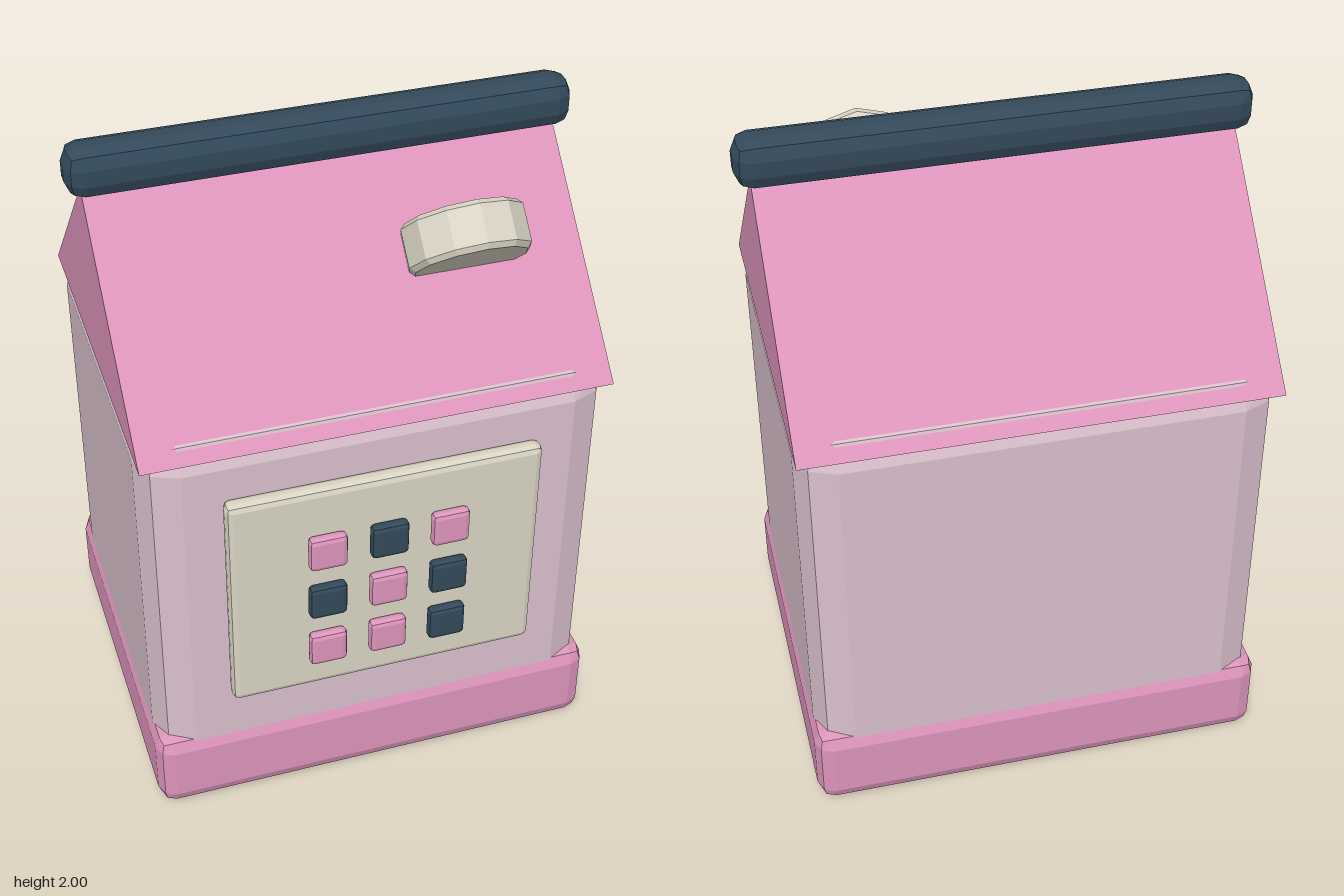
import * as THREE from 'three';
import { RoundedBoxGeometry } from 'three/addons/geometries/RoundedBoxGeometry.js';

const paint = (name, color) => {
  const m = new THREE.MeshStandardMaterial({ color });
  m.name = name;
  return m;
};

// Faceted shading: one normal per face
function faceted(geometry) {
  const g = geometry.index ? geometry.toNonIndexed() : geometry;
  g.computeVertexNormals();
  return g;
}

export function createModel() {
  const pink = paint('pink', 0xdc94bb);
  const mauve = paint('paleMauve', 0xd8bfcc);
  const cream = paint('cream', 0xd8d3c3);
  const navy = paint('navy', 0x33495a);

  const model = new THREE.Group();
  model.name = 'carton';
  const midZ = -0.035;

  function add(name, geometry, material, x, y, z, parent = model) {
    const mesh = new THREE.Mesh(faceted(geometry), material);
    mesh.name = name;
    mesh.position.set(x, y, z);
    parent.add(mesh);
    return mesh;
  }
  // Box with two facets around every edge
  const softBox = (w, h, d, r) => new RoundedBoxGeometry(w, h, d, 1, r);

  // Carton body and the wider band around its foot
  add('body', softBox(1.36, 1.28, 1.12, 0.11), mauve, 0, 0.74, midZ);
  add('base', softBox(1.38, 0.274, 1.144, 0.05), pink, 0, 0.137, midZ);

  // Gable roof: a triangular prism running along x
  const gable = new THREE.Shape([
    new THREE.Vector2(-0.5625, 0),
    new THREE.Vector2(0.5625, 0),
    new THREE.Vector2(0, 0.5625),
  ]);
  const roof = new THREE.ExtrudeGeometry(gable, { depth: 1.364, bevelEnabled: false });
  roof.translate(0, 0, -0.682).rotateY(Math.PI / 2);
  add('roof', roof, pink, 0, 1.308, midZ);

  // Bar along the ridge
  add('ridgeBar', softBox(1.452, 0.147, 0.136, 0.05), navy, 0, 1.9265, midZ);

  // Round cap half sunk into the front slope, its axis running down the slope
  const cap = new THREE.LatheGeometry([
    [0, -0.07], [0.163, -0.07], [0.178, -0.055],
    [0.178, 0.055], [0.163, 0.07], [0, 0.07],
  ].map(([r, y]) => new THREE.Vector2(r, y)), 12);
  add('cap', cap, cream, 0.33, 1.68, 0.236).rotation.x = -Math.PI / 4;

  // Front panel with a three by three grid of buttons
  add('frontPanel', softBox(0.925, 0.735, 0.054, 0.02), cream, 0, 0.805, 0.551);
  const buttons = new THREE.Group();
  buttons.name = 'buttons';
  model.add(buttons);
  const layout = [
    [pink, navy, pink],
    [navy, pink, navy],
    [pink, pink, navy],
  ];
  layout.forEach((row, j) => row.forEach((material, i) => {
    add('button', softBox(0.113, 0.113, 0.037, 0.015), material,
      (i - 1) * 0.181, 0.97 - j * 0.182, 0.597, buttons);
  }));

  return model;
}
